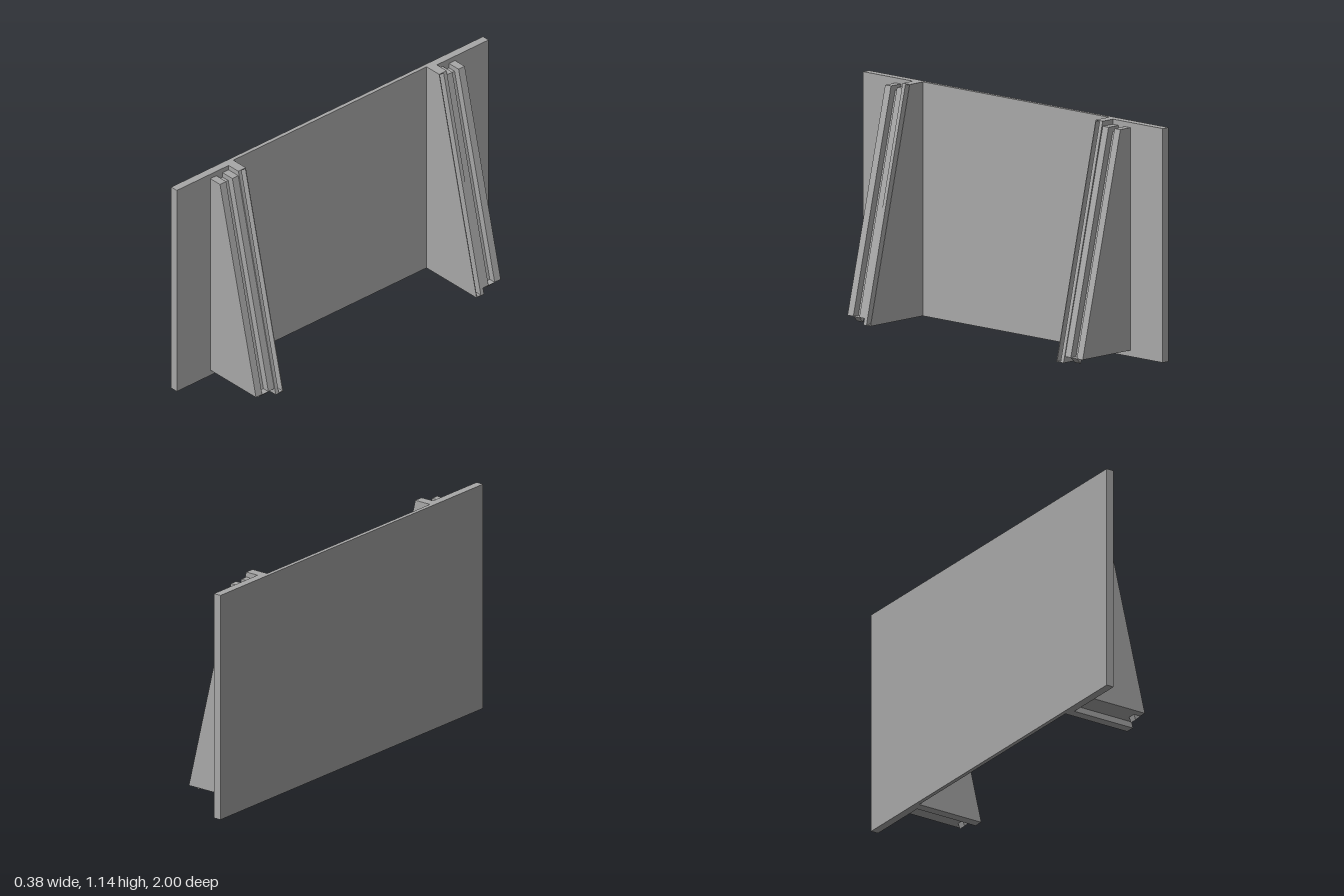
import * as THREE from 'three';

export function createModel() {
  const model = new THREE.Group();
  const grey = new THREE.MeshStandardMaterial({ color: 0xa8a8a8 });
  grey.name = 'plain grey';

  // block spanning the given x, y and z ranges
  function block(parent, name, [x0, x1], [y0, y1], [z0, z1]) {
    const mesh = new THREE.Mesh(new THREE.BoxGeometry(x1 - x0, y1 - y0, z1 - z0), grey);
    mesh.position.set((x0 + x1) / 2, (y0 + y1) / 2, (z0 + z1) / 2);
    mesh.name = name;
    parent.add(mesh);
  }

  // side profile extruded between two z distances, on the chosen side
  function slab(parent, name, points, near, far, side) {
    const shape = new THREE.Shape(points.map(([x, y]) => new THREE.Vector2(x, y)));
    const geometry = new THREE.ExtrudeGeometry(shape, { depth: far - near, bevelEnabled: false });
    geometry.translate(0, 0, side > 0 ? near : -far);
    const mesh = new THREE.Mesh(geometry, grey);
    mesh.name = name;
    parent.add(mesh);
  }

  const H = 1.14;
  block(model, 'backPanel', [-0.19, -0.17], [0, H], [-1, 1]);

  const wall = [[-0.17, 0], [0.188, 0], [-0.08, H], [-0.17, H]];
  const rib = [[-0.15, 0.03], [0.177, 0.03], [-0.081, 1.115], [-0.15, 1.115]];
  const core = [[-0.15, 0.03], [0.142, 0.03], [-0.11, 1.09], [-0.15, 1.09]];
  const foot = [[0.14, 0.03], [0.15, 0.003], [0.178, 0.03]];

  for (const side of [1, -1]) {
    const bracket = new THREE.Group();
    bracket.name = side > 0 ? 'leftBracket' : 'rightBracket';
    model.add(bracket);
    const span = (a, b) => (side > 0 ? [a, b] : [-b, -a]);

    // thicker end of the panel
    block(bracket, 'panelEnd', [-0.17, -0.15], [0, H], span(0.62, 1));

    // inner wall: two sheets with an open slot, floor and cap between them
    slab(bracket, 'innerSheet', wall, 0.62, 0.624, side);
    slab(bracket, 'outerSheet', wall, 0.648, 0.668, side);
    block(bracket, 'slotFloor', [-0.15, 0.187], [0, 0.004], span(0.624, 0.648));
    block(bracket, 'slotCap', [-0.15, -0.08], [H - 0.004, H], span(0.624, 0.648));

    // grooved rail
    slab(bracket, 'innerRib', rib, 0.668, 0.706, side);
    slab(bracket, 'grooveCore', core, 0.706, 0.746, side);
    slab(bracket, 'outerRib', rib, 0.746, 0.785, side);
    slab(bracket, 'grooveFoot', foot, 0.706, 0.746, side);
  }
  return model;
}
